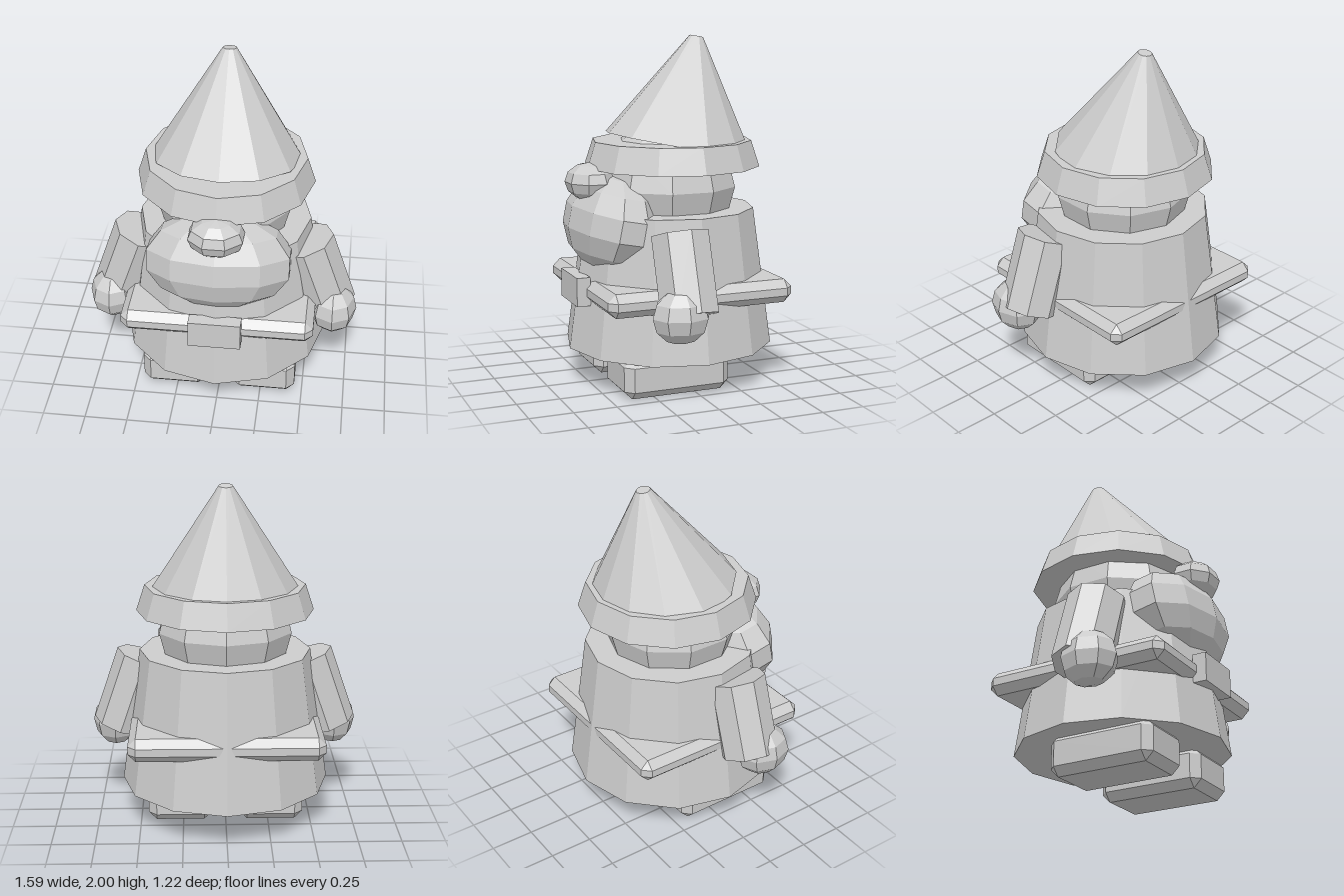
import * as THREE from 'three';
import { ConvexGeometry } from 'three/addons/geometries/ConvexGeometry.js';

// Box with every edge cut by a flat bevel
function chamferBox(w, h, d, b) {
  const pts = [];
  for (const x of [-w / 2, w / 2])
    for (const y of [-h / 2, h / 2])
      for (const z of [-d / 2, d / 2]) {
        const ix = x - Math.sign(x) * b, iy = y - Math.sign(y) * b, iz = z - Math.sign(z) * b;
        pts.push(new THREE.Vector3(x, iy, iz), new THREE.Vector3(ix, y, iz), new THREE.Vector3(ix, iy, z));
      }
  return new ConvexGeometry(pts);
}

// Faceted ellipsoid with a vertex facing front, or a flat facet when turned
function ellipsoid(rx, ry, rz, sides, rings, turn = 0) {
  return new THREE.SphereGeometry(1, sides, rings).rotateY(Math.PI / 2 + turn).scale(rx, ry, rz);
}

export function createModel() {
  const group = new THREE.Group();
  const clay = new THREE.MeshStandardMaterial({ color: 0xcccccc, flatShading: true });
  clay.name = 'light grey';

  function add(name, geometry, x, y, z, rx = 0, rz = 0) {
    const mesh = new THREE.Mesh(geometry, clay);
    mesh.name = name;
    mesh.position.set(x, y, z);
    mesh.rotation.set(rx, 0, rz);
    group.add(mesh);
    return mesh;
  }

  // Coat, belt and buckle
  add('coat', new THREE.CylinderGeometry(0.5, 0.61, 0.8, 12), 0, 0.61, 0);
  add('belt', chamferBox(1.11, 0.135, 1.105, 0.045), 0, 0.567, 0);
  add('buckle', new THREE.BoxGeometry(0.3, 0.165, 0.08), 0, 0.572, 0.57);

  // Head, beard and nose
  add('head', ellipsoid(0.4, 0.4, 0.4, 10, 6), 0, 1.135, 0);
  add('beard', ellipsoid(0.436, 0.285, 0.25, 10, 7), 0, 0.935, 0.36, -0.2);
  add('nose', ellipsoid(0.165, 0.11, 0.14, 8, 6, Math.PI / 8), 0, 1.178, 0.48);

  // Hat with a brim and a cone leaning back
  add('hatBrim', new THREE.CylinderGeometry(0.465, 0.514, 0.15, 12), 0, 1.325, -0.022);
  const cone = new THREE.CylinderGeometry(0.04, 0.435, 0.63, 12).translate(0, 0.315, 0);
  add('hatCone', cone, 0, 1.372, -0.066, -0.18);

  // Arms, hands and shoes on both sides
  for (const [side, s] of [['left', 1], ['right', -1]]) {
    const arm = new THREE.CylinderGeometry(0.17, 0.17, 0.45, 8).translate(0, -0.225, 0);
    add(side + 'Arm', arm, s * 0.475, 0.932, 0.12, 0, s * 0.33);
    add(side + 'Hand', ellipsoid(0.138, 0.152, 0.165, 8, 6), s * 0.657, 0.517, 0.187);
    add(side + 'Shoe', chamferBox(0.376, 0.234, 0.63, 0.047), s * 0.267, 0.117, 0.11);
  }

  return group;
}
